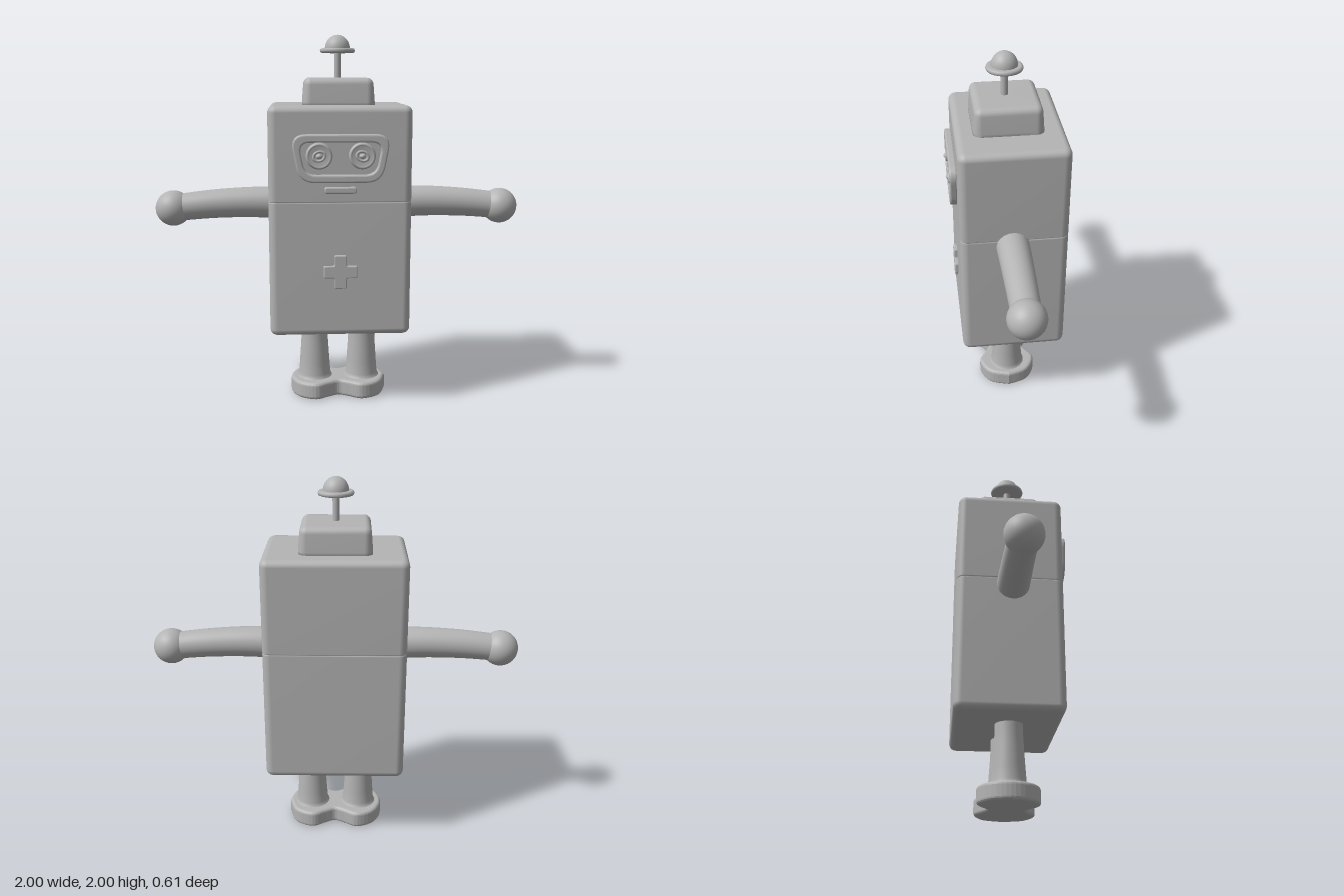
import * as THREE from 'three';

const grey = new THREE.MeshStandardMaterial({ color: 0xb4b4b4 });
grey.name = 'plain grey';
const Z = -0.013; // depth axis shared by limbs and antenna

function add(parent, name, geometry, x = 0, y = 0, z = 0) {
  const mesh = new THREE.Mesh(geometry, grey);
  mesh.name = name;
  mesh.position.set(x, y, z);
  parent.add(mesh);
  return mesh;
}

// Rounded-rectangle rings stacked along y; profile entries are [inset, y]
function loftBox(hx, hz, radius, profile) {
  const seg = 6, n = 4 * (seg + 1), pos = [], idx = [];
  for (const [inset, y] of profile) {
    const r = Math.max(radius - inset, 0.004);
    for (let c = 0; c < 4; c++) for (let i = 0; i <= seg; i++) {
      const a = (c + i / seg) * Math.PI / 2;
      const sx = c === 0 || c === 3 ? 1 : -1, sz = c < 2 ? 1 : -1;
      pos.push(sx * (hx - inset - r) + r * Math.cos(a), y, sz * (hz - inset - r) + r * Math.sin(a));
    }
  }
  for (let k = 0; k < profile.length - 1; k++) for (let i = 0; i < n; i++) {
    const a = k * n + i, b = k * n + (i + 1) % n;
    idx.push(a, a + n, b, b, a + n, b + n);
  }
  const top = (profile.length - 1) * n;
  for (let i = 1; i < n - 1; i++) idx.push(0, i, i + 1, top, top + i + 1, top + i);
  const g = new THREE.BufferGeometry();
  g.setAttribute('position', new THREE.Float32BufferAttribute(pos, 3));
  g.setIndex(idx);
  g.computeVertexNormals();
  return g;
}

// Quarter-round edge of a loft, for the bottom (dir 1) or the top (dir -1)
function edge(y, r, dir, base = 0) {
  const out = [];
  for (let i = 0; i <= 5; i++) {
    const a = i / 5 * Math.PI / 2;
    out.push([base + r * (1 - Math.sin(a)), y + dir * r * (1 - Math.cos(a))]);
  }
  return dir > 0 ? out : out.reverse();
}

// Closed outline with rounded corners through a list of corner points
function roundedShape(points, r, Type = THREE.Shape) {
  const s = new Type(), v = points.map(p => new THREE.Vector2(...p));
  v.forEach((p, i) => {
    const prev = v[(i + v.length - 1) % v.length], next = v[(i + 1) % v.length];
    const a = p.clone().add(prev.clone().sub(p).setLength(r));
    const b = p.clone().add(next.clone().sub(p).setLength(r));
    if (i === 0) s.moveTo(a.x, a.y); else s.lineTo(a.x, a.y);
    s.quadraticCurveTo(p.x, p.y, b.x, b.y);
  });
  s.closePath();
  return s;
}

function extrude(shape, depth, bevel) {
  return new THREE.ExtrudeGeometry(shape, {
    depth: depth - 2 * bevel, bevelSize: bevel, bevelThickness: bevel,
    bevelOffset: -bevel, bevelSegments: 4, curveSegments: 10,
  }).translate(0, 0, bevel);
}

const lathe = (pts, seg = 40) => new THREE.LatheGeometry(pts.map(p => new THREE.Vector2(...p)), seg);

// Drooping arm whose radius shrinks towards the hand
function armGeometry() {
  const curve = new THREE.CatmullRomCurve3([
    [0.34, 1.098], [0.5, 1.1], [0.7, 1.091], [0.9, 1.071],
  ].map(([x, y]) => new THREE.Vector3(x, y, Z - 0.002)));
  const rings = 24, sides = 32;
  const g = new THREE.TubeGeometry(curve, rings, 1, sides);
  const p = g.attributes.position, v = new THREE.Vector3();
  for (let i = 0; i < p.count; i++) {
    const t = Math.floor(i / (sides + 1)) / rings, c = curve.getPointAt(t);
    v.fromBufferAttribute(p, i).sub(c).multiplyScalar(0.087 - 0.014 * t).add(c);
    p.setXYZ(i, v.x, v.y, v.z);
  }
  return g;
}

export function createModel() {
  const model = new THREE.Group();
  model.name = 'robot';

  // Body block with a fine seam between head and torso
  add(model, 'body', loftBox(0.376, 0.28, 0.042, [
    ...edge(0.412, 0.035, 1),
    [0, 1.129], [0.005, 1.133], [0.005, 1.137], [0, 1.141],
    ...edge(1.635, 0.035, -1),
  ]), 0, 0, -0.025);

  // Slightly tapered cap
  add(model, 'cap', loftBox(0.192, 0.18, 0.045, [
    [0, 1.62], [0.001, 1.65], ...edge(1.775, 0.035, -1, 0.008),
  ]), -0.003, 0, -0.017);

  // Antenna: stem, brim and dome
  const antenna = new THREE.Group();
  antenna.name = 'antenna';
  antenna.position.set(-0.003, 0, Z);
  model.add(antenna);
  add(antenna, 'stem', new THREE.CylinderGeometry(0.019, 0.019, 0.16, 24), 0, 1.84, 0);
  add(antenna, 'brim', lathe([
    [0, 1.905], [0.082, 1.905], [0.091, 1.908], [0.095, 1.917],
    [0.091, 1.927], [0.082, 1.93], [0, 1.93],
  ]));
  add(antenna, 'dome', new THREE.SphereGeometry(0.068, 32, 12, 0, Math.PI * 2, 0, Math.PI / 2)
    .scale(1, 1.08, 1), 0, 1.927, 0);

  // Arms, hands and legs, mirrored
  for (const side of [1, -1]) {
    const label = side > 0 ? 'left' : 'right';
    const arm = new THREE.Group();
    arm.name = label + 'Arm';
    model.add(arm);
    const sleeve = add(arm, label + 'Sleeve', armGeometry());
    if (side < 0) { // turned half round about the limb axis
      sleeve.rotation.y = Math.PI;
      sleeve.position.z = 2 * Z;
    }
    add(arm, label + 'Hand', new THREE.SphereGeometry(0.097, 32, 24), side * 0.903, 1.07, Z);
    add(model, label + 'Leg', lathe([
      [0.108, 0.085], [0.096, 0.097], [0.089, 0.115], [0.084, 0.18], [0.076, 0.3], [0.073, 0.36], [0.073, 0.43],
    ]), side * 0.134, 0, Z);
  }

  // Both feet joined in one waisted slab
  const quarter = [[0.267, 0], [0.228, 0.11], [0.13, 0.16], [0.05, 0.12]];
  const half = [...quarter, [0, 0.098], ...quarter.slice(1).reverse().map(([x, y]) => [-x, y])];
  const outline = [...half, ...half.map(([x, y]) => [-x, -y])].map(p => new THREE.Vector2(...p));
  const sole = new THREE.Shape(new THREE.SplineCurve([...outline, outline[0]]).getPoints(80).slice(0, -1));
  add(model, 'feet', extrude(sole, 0.095, 0.018).rotateX(-Math.PI / 2), 0, 0, Z);

  // Goggle frame
  const face = new THREE.Group();
  face.name = 'face';
  face.position.z = 0.25;
  model.add(face);
  const frame = roundedShape([[-0.215, 1.242], [0.215, 1.242], [0.262, 1.492], [-0.262, 1.492]], 0.085);
  frame.holes.push(roundedShape([[-0.185, 1.283], [0.185, 1.283], [0.217, 1.45], [-0.217, 1.45]], 0.06, THREE.Path));
  add(face, 'goggleFrame', extrude(frame, 0.04, 0.01));

  // Eyes: raised rim, dished plate and tilted pupil ring
  for (const side of [1, -1]) {
    const eye = new THREE.Group();
    eye.name = side > 0 ? 'leftEye' : 'rightEye';
    eye.position.set(side * 0.112, 1.38, 0);
    face.add(eye);
    add(eye, 'eyeRim', lathe([
      [0.069, 0], [0.069, 0.022], [0.064, 0.033], [0.056, 0.035], [0.049, 0.028], [0, 0.028],
    ]).rotateX(Math.PI / 2));
    const pupil = add(eye, 'pupilRing', new THREE.TorusGeometry(0.03, 0.008, 10, 28), 0, 0, 0.036);
    pupil.scale.y = 0.8;
    pupil.rotation.z = side * -0.35;
    add(eye, 'pupil', new THREE.SphereGeometry(0.017, 20, 12).scale(1, 0.8, 1), 0, 0, 0.036);
  }

  // Mouth bar and chest cross
  add(face, 'mouth', extrude(roundedShape(
    [[-0.085, 1.184], [0.085, 1.184], [0.085, 1.219], [-0.085, 1.219]], 0.016), 0.028, 0.008));
  const a = 0.033, b = 0.09;
  add(model, 'chestCross', extrude(roundedShape([
    [-a, -b], [a, -b], [a, -a], [b, -a], [b, a], [a, a],
    [a, b], [-a, b], [-a, a], [-b, a], [-b, -a], [-a, -a],
  ], 0.01), 0.025, 0.006), 0, 0.765, 0.247);

  return model;
}
